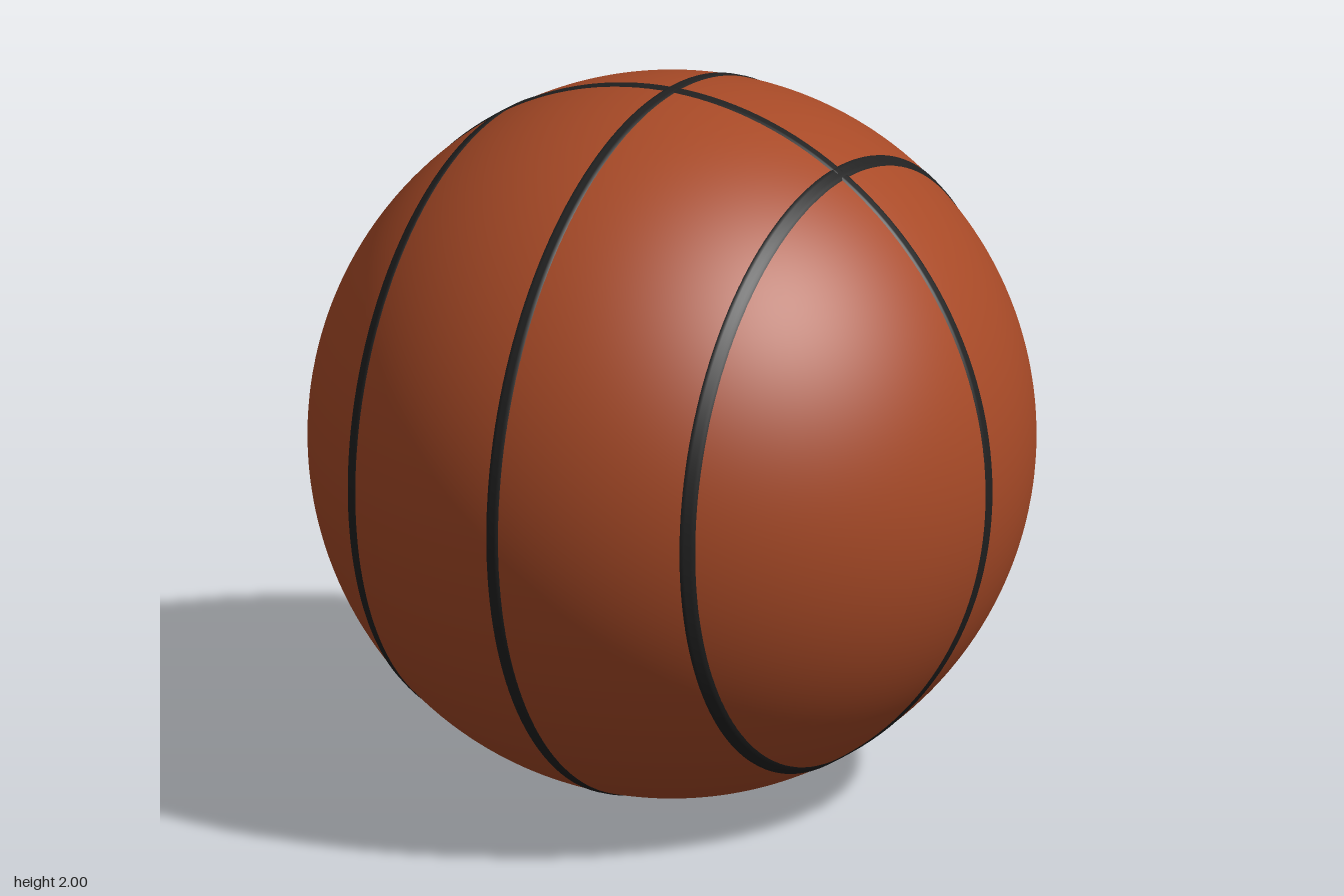
import * as THREE from 'three';

const BALL_RADIUS = 0.997;
const SEAM_RADIUS = 1.0;
const SEAM_WIDTH = 0.042;

// Thin band hugging the sphere, around the y axis at the given height
function seamGeometry(offset) {
  const steps = 6;
  const points = [];
  for (let i = 0; i <= steps; i++) {
    const y = offset + SEAM_WIDTH * (i / steps - 0.5);
    // The outer edges dip into the ball so the band is closed
    const r = i === 0 || i === steps ? BALL_RADIUS - 0.002 : SEAM_RADIUS;
    points.push(new THREE.Vector2(Math.sqrt(r * r - y * y), y));
  }
  return new THREE.LatheGeometry(points, 160);
}

export function createModel() {
  const leather = new THREE.MeshStandardMaterial({ color: 0xa84a27 });
  leather.name = 'orange leather';
  const rubber = new THREE.MeshStandardMaterial({ color: 0x212121 });
  rubber.name = 'black rubber';

  const group = new THREE.Group();
  group.name = 'ball';

  const add = (name, geometry, material) => {
    const mesh = new THREE.Mesh(geometry, material);
    mesh.name = name;
    mesh.position.y = 1;
    group.add(mesh);
  };

  // Body
  add('ballBody', new THREE.SphereGeometry(BALL_RADIUS, 160, 96), leather);

  // Parallel seams: one great circle and a smaller ring on each side
  const rings = [['rightSeam', -0.528], ['middleSeam', 0], ['leftSeam', 0.528]];
  for (const [name, x] of rings) {
    add(name, seamGeometry(x).rotateZ(-Math.PI / 2), rubber);
  }

  // Great circle crossing the other three
  add('crossSeam', seamGeometry(0).rotateX(Math.PI / 2), rubber);

  return group;
}
